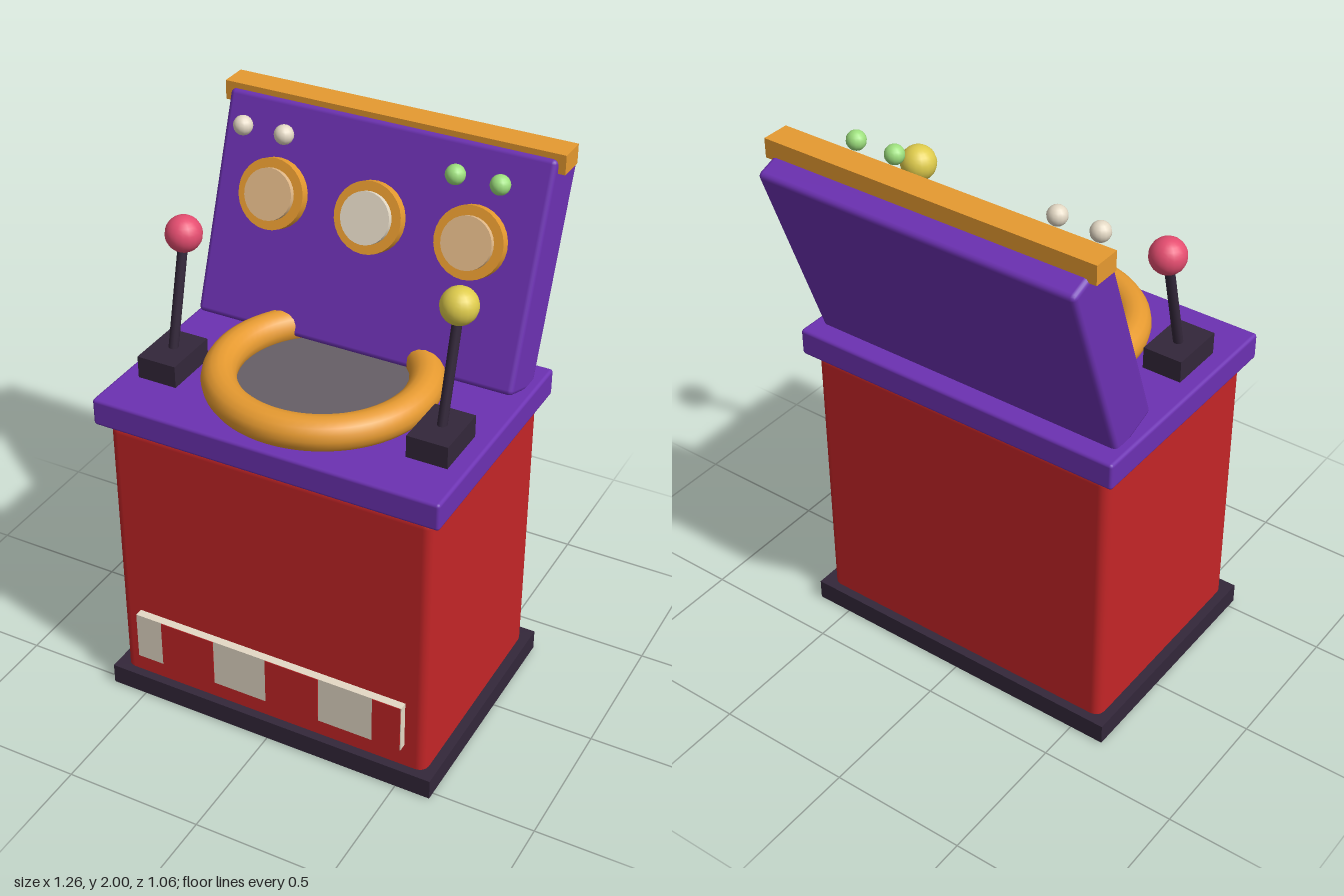
import * as THREE from 'three';
import { RoundedBoxGeometry } from 'three/addons/geometries/RoundedBoxGeometry.js';

const mat = (name, color) => {
  const m = new THREE.MeshStandardMaterial({ color });
  m.name = name;
  return m;
};

export function createModel() {
  const red = mat('red', 0xc42527);
  const purple = mat('purple', 0x6c31b2);
  const orange = mat('orange', 0xe69a30);
  const dark = mat('dark', 0x33273a);
  const cream = mat('cream', 0xe4d9c5);
  const tan = mat('tan', 0xe2b988);
  const pink = mat('pink', 0xe54d70);
  const yellow = mat('yellow', 0xdfcc4c);
  const green = mat('green', 0x9ee07e);
  const grey = mat('grey', 0x665f66);

  const model = new THREE.Group();
  model.name = 'controlConsole';

  const add = (parent, name, geometry, material, x, y, z) => {
    const mesh = new THREE.Mesh(geometry, material);
    mesh.name = name;
    mesh.position.set(x, y, z);
    parent.add(mesh);
    return mesh;
  };
  const box = (w, h, d) => new THREE.BoxGeometry(w, h, d);
  const rounded = (w, h, d, r) => new RoundedBoxGeometry(w, h, d, 2, r);

  // Cabinet: plinth, body and overhanging deck
  add(model, 'plinth', box(1.26, 0.076, 0.885), dark, 0, 0.042, 0.09);
  add(model, 'body', rounded(1.19, 1.12, 0.82, 0.035), red, 0, 0.56, 0.09);
  add(model, 'deck', rounded(1.26, 0.1, 0.885, 0.012), purple, 0, 1.17, 0.09);

  // Chequered strip low on the front
  add(model, 'strip', box(1.035, 0.185, 0.04), cream, 0, 0.263, 0.51);
  for (const [x0, x1] of [[-0.415, -0.205], [0, 0.205], [0.41, 0.515]]) {
    add(model, 'stripBlock', box(x1 - x0, 0.183, 0.004), red, (x0 + x1) / 2, 0.263, 0.53);
  }

  // Well with a padded ring, running back into the panel
  add(model, 'wellFloor', new THREE.CylinderGeometry(0.33, 0.33, 0.02, 48), grey, 0, 1.225, 0.105);
  const arc = Math.PI * 1.6;
  const ring = new THREE.TorusGeometry(0.343, 0.06, 16, 56, arc);
  ring.rotateZ(-Math.PI / 2 - arc / 2);
  ring.rotateX(-Math.PI / 2);
  add(model, 'paddedRing', ring, orange, 0, 1.264, 0.105);

  // Panel leaning back, with three round gauges
  const panel = new THREE.Group();
  panel.name = 'backPanel';
  panel.position.set(0, 1.584, -0.304);
  panel.rotation.x = -0.349;
  model.add(panel);
  add(panel, 'panelBoard', rounded(1.19, 0.78, 0.2, 0.018), purple, 0, 0, 0);
  const disc = (r, h) => new THREE.CylinderGeometry(r, r, h, 28).rotateX(Math.PI / 2);
  for (const x of [-0.365, 0, 0.365]) {
    add(panel, 'gaugeRim', disc(0.122, 0.05), orange, x, 0.075, 0.113);
    add(panel, 'gaugeFace', disc(0.089, 0.06), x === 0 ? cream : tan, x, 0.075, 0.128);
  }
  add(model, 'topTrim', box(1.24, 0.068, 0.1), orange, 0, 1.966, -0.405);

  // Indicator bulbs, light on one side and green on the other
  for (const x of [-0.465, -0.31, 0.31, 0.465]) {
    add(model, 'bulb', new THREE.SphereGeometry(0.034, 14, 10), x < 0 ? cream : green, x, 1.93, -0.203);
  }

  // Levers: block, leaning stick and ball knob
  for (const side of [-1, 1]) {
    const lever = new THREE.Group();
    lever.name = side > 0 ? 'leftLever' : 'rightLever';
    lever.position.set(side * 0.495, 1.22, 0.243);
    model.add(lever);
    add(lever, 'leverBlock', box(0.144, 0.08, 0.206), dark, 0, 0.04, 0);
    const stick = add(lever, 'leverStick', new THREE.CylinderGeometry(0.017, 0.017, 0.43, 12), dark, 0, 0.25, -0.05);
    stick.rotation.x = -0.25;
    add(lever, 'leverKnob', new THREE.SphereGeometry(0.063, 18, 14), side > 0 ? yellow : pink, 0, 0.46, -0.102);
  }

  return model;
}
